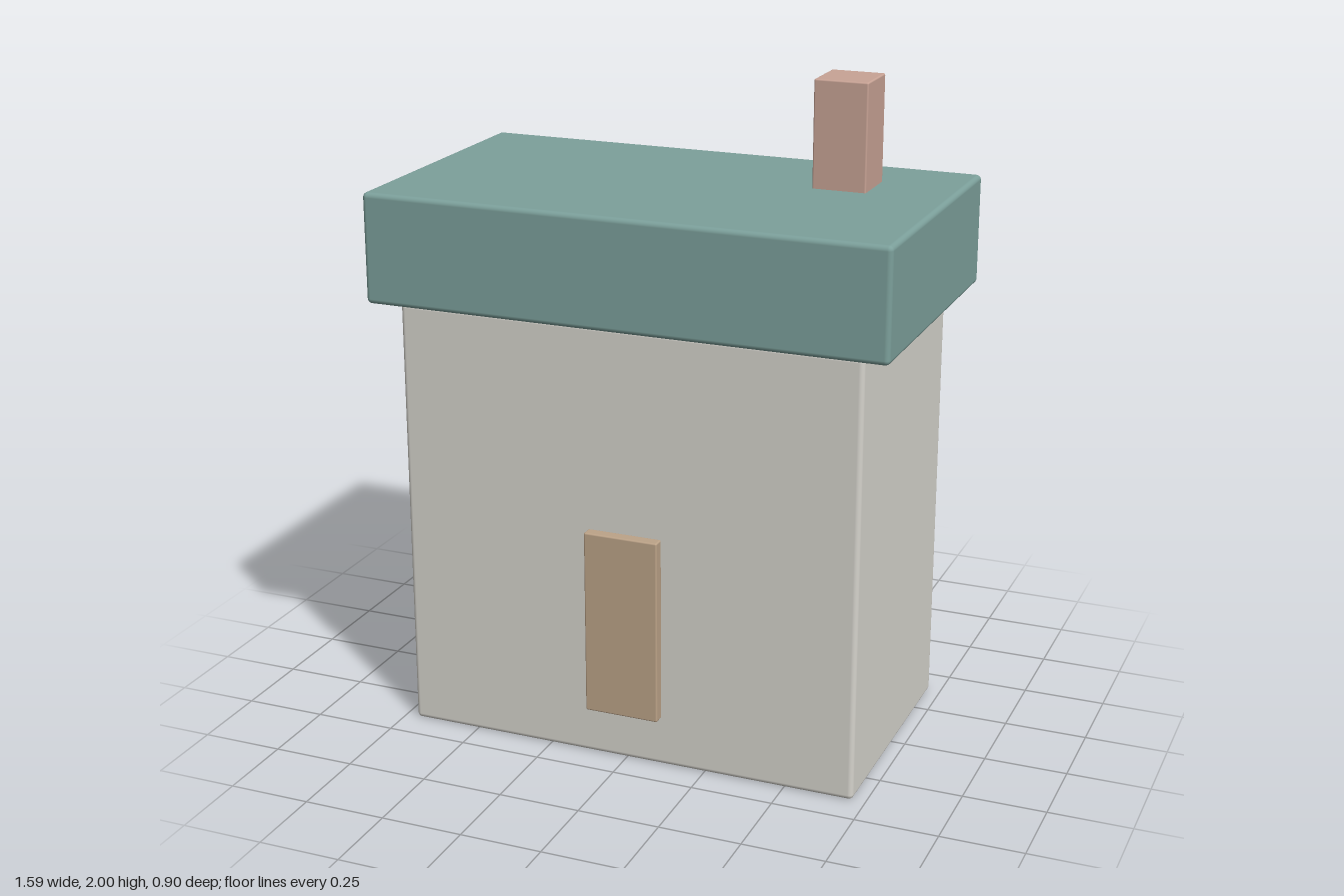
import * as THREE from 'three';
import { RoundedBoxGeometry } from 'three/addons/geometries/RoundedBoxGeometry.js';

// Softly bevelled block given by its extents on each axis
function block(name, color, [x0, x1], [y0, y1], [z0, z1], bevel) {
  const geometry = new RoundedBoxGeometry(x1 - x0, y1 - y0, z1 - z0, 3, bevel);
  const mesh = new THREE.Mesh(geometry, new THREE.MeshStandardMaterial({ color }));
  mesh.name = name;
  mesh.position.set((x0 + x1) / 2, (y0 + y1) / 2, (z0 + z1) / 2);
  return mesh;
}

export function createModel() {
  const house = new THREE.Group();
  house.name = 'house';
  house.add(
    // Walls
    block('walls', 0xd5d3cc, [-0.712, 0.712], [0, 1.345], [-0.4, 0.4], 0.015),
    // Flat overhanging roof
    block('roof', 0x7ca09b, [-0.797, 0.797], [1.347, 1.68], [-0.45, 0.45], 0.015),
    // Chimney, set towards the back of the model's left side
    block('chimney', 0xc8a395, [0.387, 0.55], [1.66, 2], [-0.25, -0.088], 0.005),
    // Door slab on the front wall
    block('door', 0xbca388, [-0.115, 0.115], [0.155, 0.725], [0.4, 0.437], 0.005),
  );
  return house;
}
